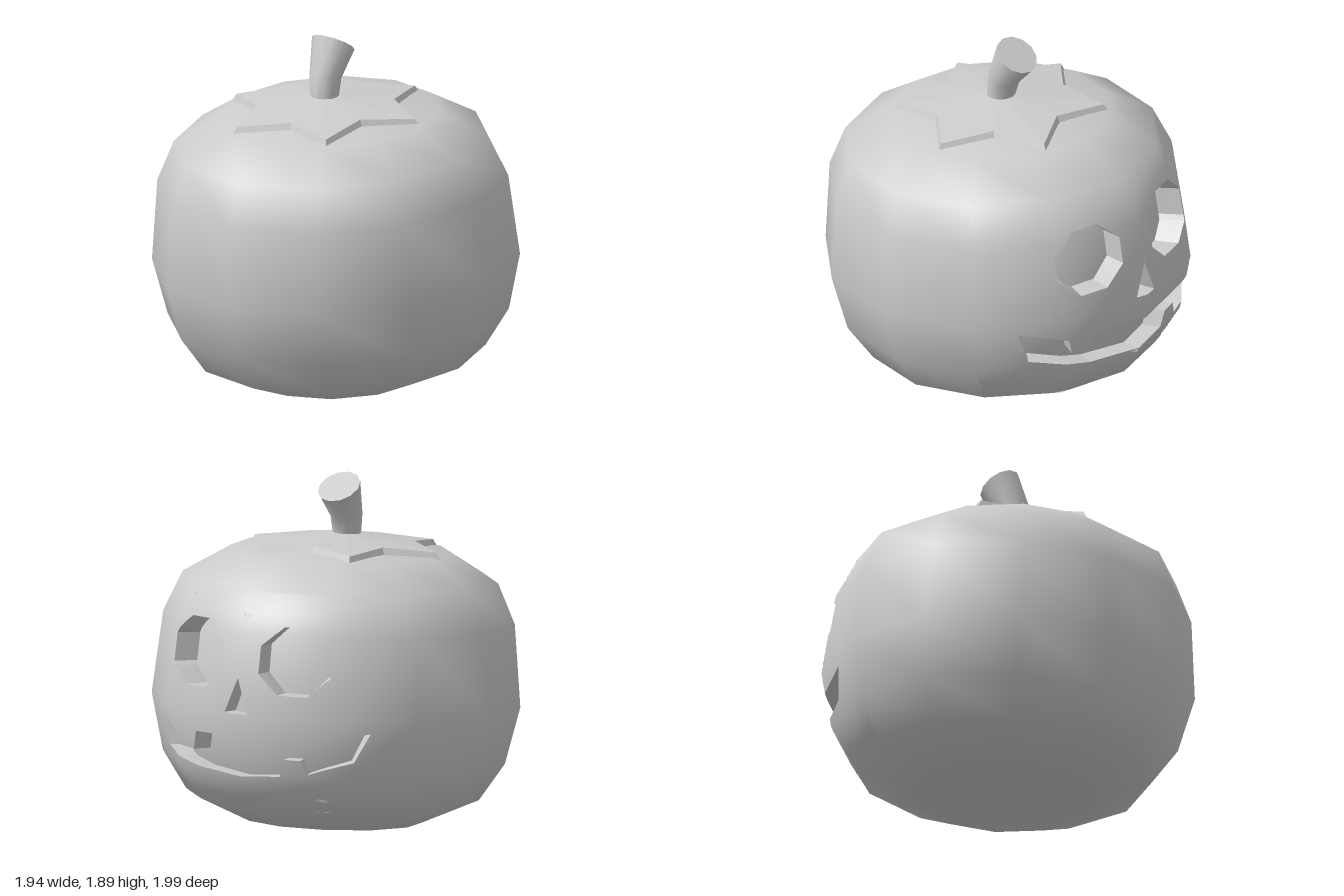
import * as THREE from 'three';

const grey = (extra = {}) => new THREE.MeshStandardMaterial({ color: 0xcccccc, ...extra });
const V2 = (x, y) => new THREE.Vector2(x, y);

// Body profile (radius, height), turned in 12 segments
const profile = [[0, 0.03], [0.48, 0.035], [0.77, 0.165], [0.9, 0.365], [0.97, 0.67],
  [0.925, 1.11], [0.83, 1.325], [0.58, 1.475], [0, 1.53]].map(p => V2(...p));
const LOW = 2, HIGH = 6; // profile rows that bound the face panel

// Averaged profile normals
const profileNormals = profile.map((p, i) => {
  const n = V2(0, 0);
  for (const j of [i - 1, i]) {
    if (!profile[j] || !profile[j + 1]) continue;
    const d = profile[j + 1].clone().sub(profile[j]).normalize();
    n.add(V2(d.y, -d.x));
  }
  return n.normalize();
});

function sampleProfile(list, y) {
  let i = 0;
  while (i < profile.length - 2 && y > profile[i + 1].y) i++;
  const t = THREE.MathUtils.clamp((y - profile[i].y) / (profile[i + 1].y - profile[i].y), 0, 1);
  return list[i].clone().lerp(list[i + 1], t);
}
const radiusAt = y => sampleProfile(profile, y).x;

// Back half of the unit 12-gon: depth for a sideways position s
function backDepth(s) {
  const a = Math.abs(s), k = [0, 0.5, Math.sqrt(0.75), 1], c = [1, Math.sqrt(0.75), 0.5, 0];
  const i = a < k[1] ? 0 : a < k[2] ? 1 : 2;
  return c[i] + (c[i + 1] - c[i]) * (a - k[i]) / (k[i + 1] - k[i]);
}

// Panel coordinates (s, y) to a point on the back of the body, or inset from it
function onBody(p, inset = 1) {
  const r = radiusAt(p.y) * inset;
  return new THREE.Vector3(r * p.x, p.y, -r * backDepth(p.x));
}

function smoothBodyNormals(geo) {
  const pos = geo.attributes.position, out = [];
  for (let i = 0; i < pos.count; i++) {
    const x = pos.getX(i), z = pos.getZ(i), h = Math.hypot(x, z) || 1;
    const n = sampleProfile(profileNormals, pos.getY(i)).normalize();
    out.push(n.x * x / h, n.y, n.x * z / h);
  }
  geo.setAttribute('normal', new THREE.Float32BufferAttribute(out, 3));
  return geo;
}

function bufferFrom(points) {
  return new THREE.BufferGeometry().setFromPoints(points);
}

// Triangulate a panel shape, split each triangle evenly, and wrap it on the body
const LEVELS = 4;
function wrapShape(shape, inset = 1) {
  const flat = new THREE.ShapeGeometry(shape).toNonIndexed().attributes.position;
  let pts = [];
  for (let i = 0; i < flat.count; i++) pts.push(V2(flat.getX(i), flat.getY(i)));
  for (let l = 0; l < LEVELS; l++) {
    const next = [];
    for (let i = 0; i < pts.length; i += 3) {
      const [a, b, c] = pts.slice(i, i + 3);
      const [ab, bc, ca] = [[a, b], [b, c], [c, a]].map(([p, q]) => p.clone().add(q).multiplyScalar(0.5));
      next.push(a, ab, ca, ab, b, bc, ca, bc, c, ab, bc, ca);
    }
    pts = next;
  }
  const world = [];
  for (let i = 0; i < pts.length; i += 3)
    for (const j of [0, 2, 1]) world.push(onBody(pts[i + j], inset));
  return smoothBodyNormals(bufferFrom(world));
}

// Side walls of a carved opening
function carvedWall(outline, inset) {
  const pts = [], n = 2 ** LEVELS;
  outline.forEach((a, i) => {
    const b = outline[(i + 1) % outline.length];
    for (let k = 0; k < n; k++) {
      const p = a.clone().lerp(b, k / n), q = a.clone().lerp(b, (k + 1) / n);
      const [A, B, C, D] = [onBody(p), onBody(q), onBody(q, inset), onBody(p, inset)];
      pts.push(A, B, C, A, C, D);
    }
  });
  const geo = bufferFrom(pts);
  geo.computeVertexNormals();
  return geo;
}

// Six-pointed lid: shallow cone with a flared rim
function lidGeometry() {
  const ring = (grow, top) => Array.from({ length: 12 }, (_, i) => {
    const r = (i % 2 ? 0.36 : 0.54) * grow, a = THREE.MathUtils.degToRad(-6 + 30 * i);
    const y = top ? 1.575 - 0.128 * r : 1.455 + (i % 2 ? 0.025 : 0);
    return new THREE.Vector3(r * Math.cos(a) - 0.02, y, r * Math.sin(a) + 0.01);
  });
  const up = ring(1, true), low = ring(1.06, false);
  const apex = new THREE.Vector3(-0.02, 1.575, 0.01), pts = [];
  for (let i = 0; i < 12; i++) {
    const j = (i + 1) % 12;
    pts.push(apex, up[j], up[i], up[i], up[j], low[j], up[i], low[j], low[i]);
  }
  const geo = bufferFrom(pts);
  geo.computeVertexNormals();
  return geo;
}

// Stem: a cylinder bent backwards, widening to a slanted cut
function stemGeometry() {
  const geo = new THREE.CylinderGeometry(1, 1, 1, 12, 2);
  const rings = [ // centre y, centre z, radius, lean
    [1.56, 0.07, 0.075, 0], [1.66, 0.055, 0.085, 0.15], [1.825, -0.03, 0.118, 0.57]];
  const pos = geo.attributes.position;
  for (let i = 0; i < pos.count; i++) {
    const k = Math.round((pos.getY(i) + 0.5) * 2), [y, z, r, lean] = rings[k];
    const px = pos.getX(i) * r, pz = pos.getZ(i) * r;
    pos.setXYZ(i, px - 0.025 - 0.006 * k, y + pz * Math.sin(lean), z + pz * Math.cos(lean));
  }
  geo.computeVertexNormals();
  return geo;
}

export function createModel() {
  const model = new THREE.Group();
  const pumpkin = new THREE.Group();
  pumpkin.name = 'pumpkin';
  pumpkin.rotation.set(0.07, -0.03, 0);
  pumpkin.scale.z = 1.03;
  pumpkin.position.z = -0.047;
  model.add(pumpkin);
  const add = (parent, name, geo, extra) => {
    const mesh = new THREE.Mesh(geo, grey(extra));
    mesh.name = name;
    parent.add(mesh);
  };

  // Shell: front, plus the bands above and below the face
  const deg = Math.PI / 180;
  const shell = (pts, segs, start) =>
    smoothBodyNormals(new THREE.LatheGeometry(pts, segs, start * deg, segs * 30 * deg));
  add(pumpkin, 'shellFront', shell(profile, 8, 240));
  add(pumpkin, 'shellBottomBand', shell(profile.slice(0, LOW + 1), 4, 120));
  add(pumpkin, 'shellTopBand', shell(profile.slice(HIGH), 4, 120));

  // Carved openings, given as x and y seen on the face
  const eye = cx => Array.from({ length: 8 }, (_, i) => {
    const a = (i + 0.5) * Math.PI / 4;
    return [cx + 0.205 * Math.cos(a), 0.975 + 0.195 * Math.sin(a)];
  });
  const openings = {
    leftEye: { inset: 0.86, outline: eye(0.305) },
    rightEye: { inset: 0.86, outline: eye(-0.305) },
    nose: { inset: 0.9, outline: [[0.065, 0.685], [-0.01, 0.87], [-0.075, 0.68]] },
    mouth: { inset: 0.88, outline: [
      [0.66, 0.61], [0.46, 0.55], [0.43, 0.46], [0.33, 0.45], [0.3, 0.55], [0.12, 0.555],
      [-0.02, 0.53], [-0.42, 0.54], [-0.66, 0.61], [-0.58, 0.45], [-0.37, 0.375],
      [-0.34, 0.45], [-0.25, 0.45], [-0.22, 0.355], [0, 0.34], [0.3, 0.36], [0.6, 0.43]] },
  };

  // Face panel; its border bulges a hair so it meets the shell at every corner
  const rows = profile.slice(LOW, HIGH + 1).map(p => p.y), side = Math.sqrt(0.75);
  const mid = (rows[0] + rows.at(-1)) / 2, half = rows.at(-1) - mid;
  const edge = y => side + 1e-3 * (1 - ((y - mid) / half) ** 2);
  const lift = s => 1e-3 * (1 - (s / side) ** 2);
  const face = new THREE.Shape([
    ...[-side, -0.5, 0, 0.5].map(s => V2(s, rows[0] - lift(s))),
    ...rows.slice(0, -1).map(y => V2(edge(y), y)),
    ...[side, 0.5, 0, -0.5].map(s => V2(s, rows.at(-1) + lift(s))),
    ...rows.slice(1).reverse().map(y => V2(-edge(y), y)),
  ].filter((p, i, all) => !i || p.distanceTo(all[i - 1]) > 1e-6));

  for (const [name, { inset, outline }] of Object.entries(openings)) {
    const pts = outline.map(([x, y]) => V2(x / radiusAt(y), y));
    face.holes.push(new THREE.Path(pts));
    add(pumpkin, name + 'Wall', carvedWall(pts, inset), { side: THREE.DoubleSide });
    add(pumpkin, name + 'Floor', wrapShape(new THREE.Shape(pts), inset));
  }
  add(pumpkin, 'facePanel', wrapShape(face));

  add(pumpkin, 'lid', lidGeometry(), { flatShading: true });
  add(model, 'stem', stemGeometry());
  return model;
}
